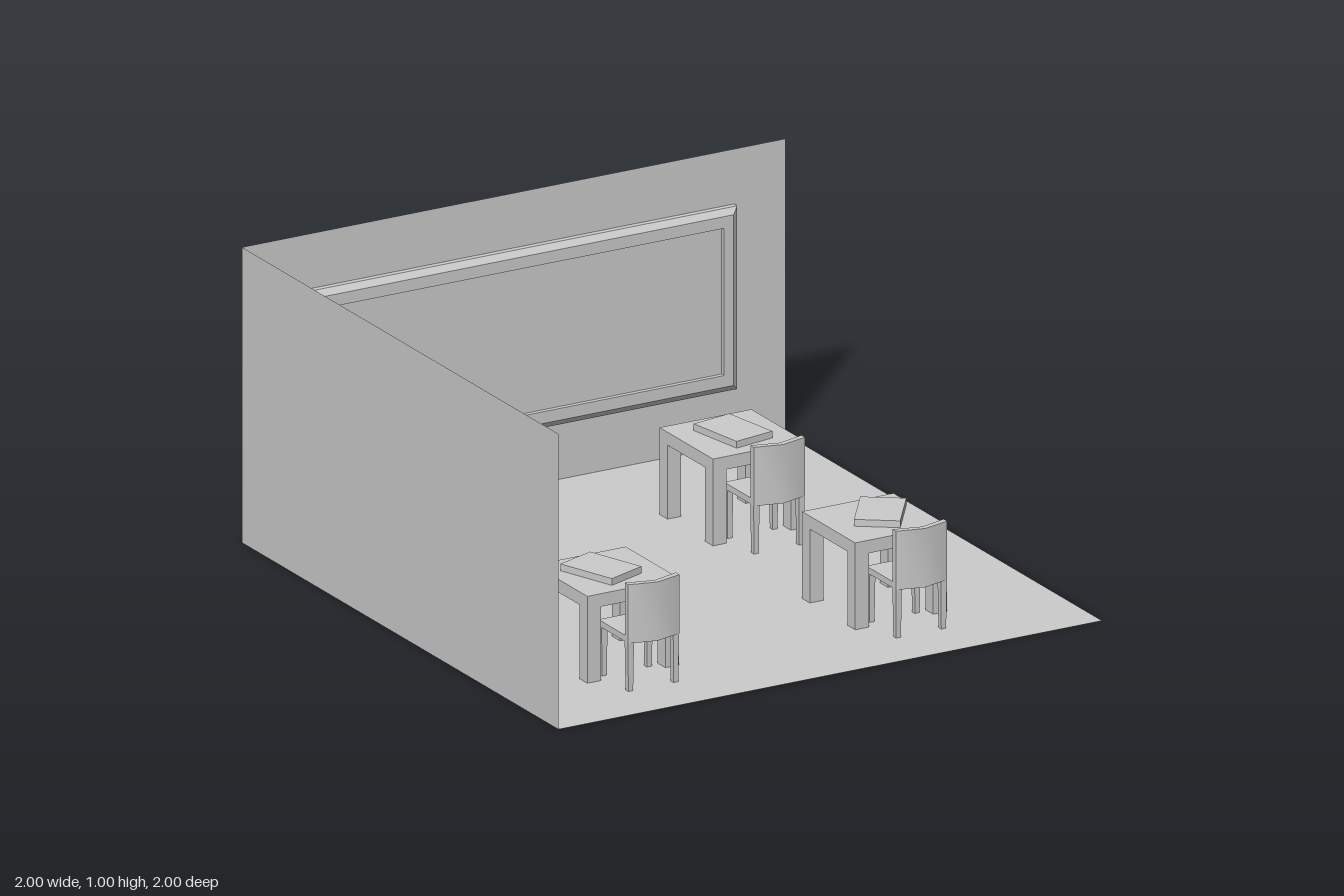
import * as THREE from 'three';
import { toCreasedNormals } from 'three/addons/utils/BufferGeometryUtils.js';

const grey = new THREE.MeshStandardMaterial({ color: 0xcccccc });
const greyFlat = new THREE.MeshStandardMaterial({ color: 0xcccccc, flatShading: true });
const greyThin = new THREE.MeshStandardMaterial({ color: 0xcccccc, side: THREE.DoubleSide });

function add(parent, name, geometry, x = 0, y = 0, z = 0, material = grey) {
  const mesh = new THREE.Mesh(geometry, material);
  mesh.name = name;
  mesh.position.set(x, y, z);
  parent.add(mesh);
  return mesh;
}

// Rectangular rings [halfWidth, halfHeight, depth] joined in turn, last one capped, facing +z
function ringLoft(rings) {
  const pos = [];
  const index = [];
  for (const [w, h, d] of rings) pos.push(-w, -h, d, w, -h, d, w, h, d, -w, h, d);
  for (let r = 0; r < rings.length - 1; r++) {
    for (let i = 0; i < 4; i++) {
      const a = r * 4 + i, b = r * 4 + (i + 1) % 4;
      index.push(a, b, b + 4, a, b + 4, a + 4);
    }
  }
  const k = (rings.length - 1) * 4;
  index.push(k, k + 1, k + 2, k, k + 2, k + 3);
  const g = new THREE.BufferGeometry();
  g.setAttribute('position', new THREE.Float32BufferAttribute(pos, 3));
  g.setIndex(index);
  const flat = g.toNonIndexed();
  flat.computeVertexNormals();
  return flat;
}

// Plan outline [x, z] raised to the given height
function raisePlan(points, height) {
  const shape = new THREE.Shape(points.map(([x, z]) => new THREE.Vector2(x, -z)));
  const g = new THREE.ExtrudeGeometry(shape, { depth: height, bevelEnabled: false });
  g.rotateX(-Math.PI / 2);
  return toCreasedNormals(g, 0.65);
}

function createDesk() {
  const desk = new THREE.Group();
  desk.name = 'desk';
  add(desk, 'deskTop', new THREE.BoxGeometry(0.337, 0.044, 0.337), 0, 0.272, 0);
  for (const sx of [-1, 1]) {
    for (const sz of [-1, 1]) {
      add(desk, 'deskLeg', new THREE.BoxGeometry(0.05, 0.25, 0.05), sx * 0.1435, 0.125, sz * 0.1435);
    }
  }
  return desk;
}

function createChair() {
  const chair = new THREE.Group();
  chair.name = 'chair';
  const w = 0.094;
  // seat, with its rear edge following the bowed back
  add(chair, 'seat', raisePlan([[-w, 0.115], [w, 0.115], [w, 0.283], [0, 0.309], [-w, 0.283]], 0.021), 0, 0.165, 0);
  add(chair, 'backrest', raisePlan(
    [[-w, 0.282], [0, 0.308], [w, 0.282], [w, 0.304], [0, 0.328], [-w, 0.304]], 0.199), 0, 0.164, 0);
  for (const sx of [-1, 1]) {
    for (const z of [0.125, 0.292]) {
      // square legs, widening slightly at the top
      const leg = new THREE.CylinderGeometry(0.0155, 0.0125, 0.167, 4, 1);
      leg.rotateY(Math.PI / 4);
      add(chair, 'chairLeg', leg, sx * 0.083, 0.0835, z, greyFlat);
    }
  }
  return chair;
}

export function createModel() {
  const room = new THREE.Group();
  room.name = 'classroom';

  // Floor and two walls
  add(room, 'floor', new THREE.PlaneGeometry(2, 2), 0, 0, 0, greyThin).rotation.x = -Math.PI / 2;
  add(room, 'backWall', new THREE.PlaneGeometry(2, 1), 0, 0.5, -1, greyThin);
  add(room, 'sideWall', new THREE.PlaneGeometry(2, 1), -1, 0.5, 0, greyThin).rotation.y = Math.PI / 2;

  // Framed board on the back wall: chamfered frame around a recessed panel
  add(room, 'board', ringLoft([
    [0.81, 0.31, 0], [0.81, 0.31, 0.02], [0.788, 0.289, 0.036], [0.753, 0.249, 0.036], [0.753, 0.249, 0.02],
  ]), 0, 0.504, -1);

  // Shallow panel on the side wall
  add(room, 'sidePanel', ringLoft([[0.742, 0.243, 0], [0.742, 0.243, 0.013]]), -1, 0.503, 0).rotation.y = Math.PI / 2;

  // Four places: desk centre x, z, then book offset x, z and turn
  const places = [
    [-0.537, -0.39, 0.002, -0.01, -0.08],
    [0.448, -0.39, 0.002, 0.002, 0.17],
    [-0.537, 0.509, -0.017, -0.006, 0.35],
    [0.448, 0.509, 0.028, -0.011, -0.62],
  ];
  for (const [x, z, bx, bz, turn] of places) {
    const place = new THREE.Group();
    place.name = 'studyPlace';
    place.position.set(x, 0, z);
    const chair = createChair();
    chair.position.x = -0.003;
    place.add(createDesk(), chair);
    add(place, 'book', new THREE.BoxGeometry(0.148, 0.024, 0.213), bx, 0.305, bz).rotation.y = turn;
    room.add(place);
  }
  return room;
}
